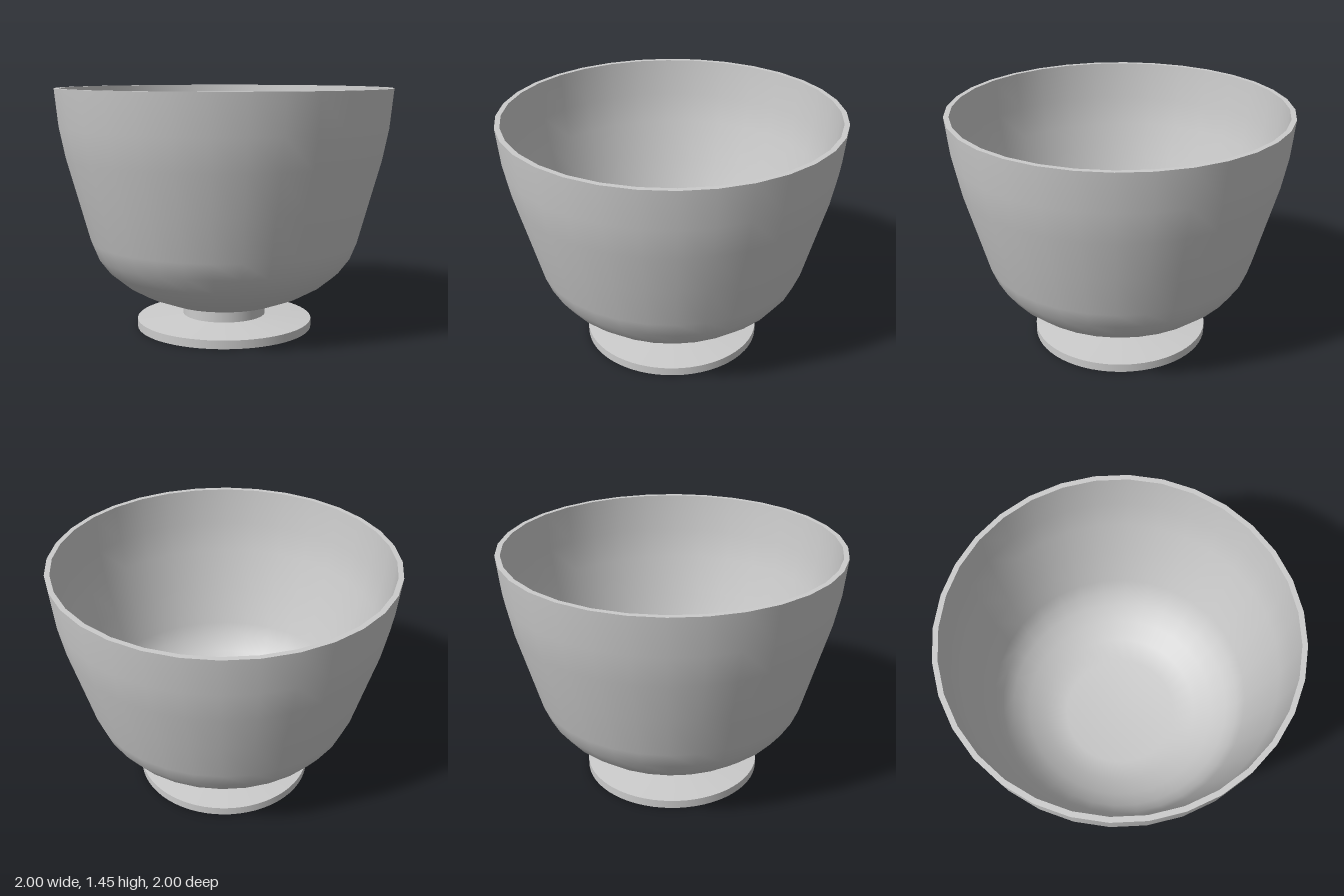
import * as THREE from 'three';

const material = new THREE.MeshStandardMaterial({ color: 0xcccccc, side: THREE.DoubleSide });

// Turns a profile of [radius, height] pairs round the y axis
function turned(name, profile, segments) {
  const points = profile.map(([r, y]) => new THREE.Vector2(r, y));
  const mesh = new THREE.Mesh(new THREE.LatheGeometry(points, segments), material);
  mesh.name = name;
  return mesh;
}

export function createModel() {
  const model = new THREE.Group();
  model.name = 'footedBowl';

  // Bowl: smooth outer and inner walls, each its own surface so the lip stays sharp
  const sides = 32;
  const outer = [
    [0.355, 0.165], [0.5, 0.222], [0.607, 0.283], [0.7, 0.36], [0.765, 0.447],
    [0.805, 0.545], [0.875, 0.8], [0.94, 1.035], [0.977, 1.22], [1, 1.445],
  ];
  const inner = [
    [0.97, 1.445], [0.95, 1.22], [0.915, 1.035], [0.85, 0.8], [0.78, 0.55],
    [0.74, 0.46], [0.68, 0.38], [0.59, 0.306], [0.485, 0.246], [0.35, 0.19], [0, 0.188],
  ];
  const bowl = new THREE.Group();
  bowl.name = 'bowl';
  bowl.add(
    turned('outerWall', outer, sides),
    turned('lip', [outer[outer.length - 1], inner[0]], sides),
    turned('innerWall', inner, sides),
    turned('underside', [[0, 0.165], outer[0]], sides),
  );

  // Foot: an open thin shell, hollow from below, with sharp edges between its bands
  const foot = new THREE.Group();
  foot.name = 'foot';
  const bands = [[0.53, 0], [0.53, 0.05], [0.25, 0.075], [0.25, 0.165]];
  ['footRim', 'footSlope', 'stem'].forEach((name, i) => {
    foot.add(turned(name, [bands[i], bands[i + 1]], 64));
  });

  model.add(bowl, foot);
  return model;
}
